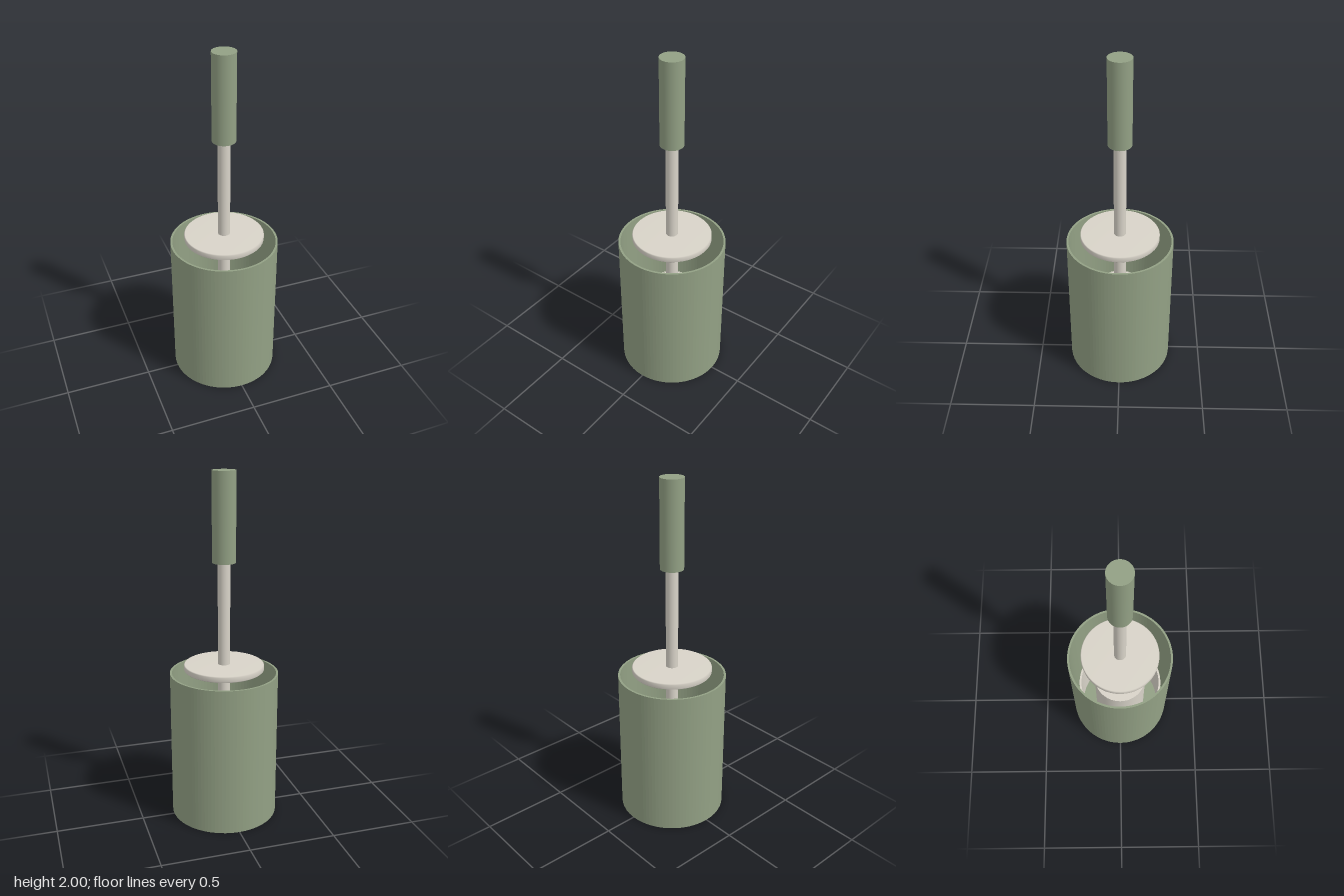
import * as THREE from 'three';

export function createModel() {
  const model = new THREE.Group();
  const sage = new THREE.MeshStandardMaterial({ color: 0x92a084 });
  sage.name = 'sage green';
  const cream = new THREE.MeshStandardMaterial({ color: 0xd8d3c8 });
  cream.name = 'warm cream';

  // Upright solid cylinder between two heights
  function rod(name, radius, bottom, top, material, sides = 48) {
    const mesh = new THREE.Mesh(
      new THREE.CylinderGeometry(radius, radius, top - bottom, sides), material);
    mesh.position.y = (bottom + top) / 2;
    mesh.name = name;
    model.add(mesh);
  }

  // Upright hollow tube between two heights
  function tube(name, outer, inner, bottom, top, material) {
    const ring = new THREE.Shape().absarc(0, 0, outer, 0, Math.PI * 2);
    ring.holes.push(new THREE.Path().absarc(0, 0, inner, 0, Math.PI * 2, true));
    const geometry = new THREE.ExtrudeGeometry(ring, {
      depth: top - bottom, bevelEnabled: false, curveSegments: 48,
    });
    geometry.rotateX(-Math.PI / 2);
    geometry.translate(0, bottom, 0);
    const mesh = new THREE.Mesh(geometry, material);
    mesh.name = name;
    model.add(mesh);
  }

  // Open holder with its floor and inner liner
  rod('holderBase', 0.31, 0, 0.012, sage);
  tube('holderWall', 0.31, 0.298, 0.012, 0.87, sage);
  tube('innerLiner', 0.26, 0.248, 0.012, 0.4, cream);

  // Brush: head inside the holder, stem, splash disc and grip
  rod('brushHead', 0.16, 0.06, 0.5, cream);
  rod('stem', 0.035, 0.5, 1.51, cream, 32);
  rod('grip', 0.066, 1.505, 2, sage, 40);

  // Splash disc with softened edges
  const discProfile = [[0, 0.885], [0.224, 0.885], [0.229, 0.89],
    [0.229, 0.915], [0.224, 0.92], [0, 0.92]];
  const disc = new THREE.Mesh(new THREE.LatheGeometry(
    discProfile.map(([x, y]) => new THREE.Vector2(x, y)), 48), cream);
  disc.name = 'splashDisc';
  model.add(disc);

  return model;
}
